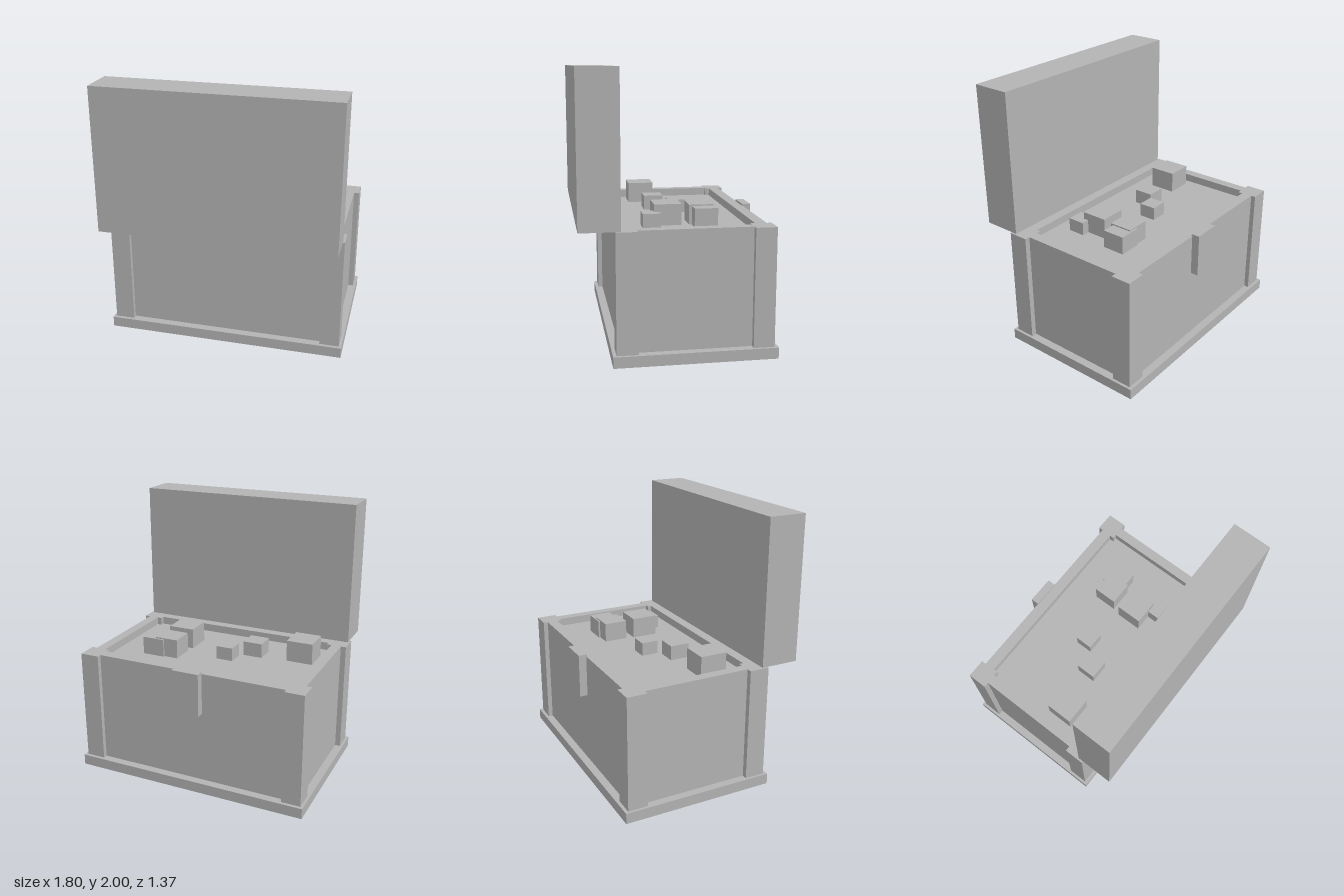
import * as THREE from 'three';

const stone = new THREE.MeshStandardMaterial({ name: 'plain grey', color: 0xb3b3b3 });
const CENTER_Z = -0.11; // middle of the chest body

// Box given by its lower and upper limits on each axis
function box(name, [x0, x1], [y0, y1], [z0, z1]) {
  const mesh = new THREE.Mesh(new THREE.BoxGeometry(x1 - x0, y1 - y0, z1 - z0), stone);
  mesh.position.set((x0 + x1) / 2, (y0 + y1) / 2, (z0 + z1) / 2);
  mesh.name = name;
  return mesh;
}

// Rectangle whose corners are stepped: post corner (px, pz), wall line (wx, wz), step (sx, sz)
function steppedOutline(corner) {
  const points = [];
  for (const [mx, my] of [[1, 1], [-1, 1], [-1, -1], [1, -1]]) {
    const part = corner.map(([x, y]) => new THREE.Vector2(x * mx, y * my));
    points.push(...(mx * my > 0 ? part : part.reverse()));
  }
  return points;
}

// Four walls and corner posts as one stepped ring
function chestBody() {
  const shape = new THREE.Shape(steppedOutline(
    [[0.84, 0.40], [0.88, 0.40], [0.88, 0.55], [0.735, 0.55], [0.735, 0.515]]));
  shape.holes.push(new THREE.Path(steppedOutline(
    [[0.765, 0.40], [0.73, 0.40], [0.73, 0.433]])));
  const geometry = new THREE.ExtrudeGeometry(shape, { depth: 0.85, bevelEnabled: false });
  geometry.rotateX(-Math.PI / 2);
  const mesh = new THREE.Mesh(geometry, stone);
  mesh.position.set(0, 0.08, CENTER_Z);
  mesh.name = 'wallsAndPosts';
  return mesh;
}

export function createModel() {
  const group = new THREE.Group();
  group.name = 'openChest';

  group.add(box('basePlinth', [-0.9, 0.9], [0, 0.08], [-0.685, 0.465]));
  group.add(chestBody());
  group.add(box('contentsBed', [-0.79, 0.79], [0.08, 0.87], [-0.57, 0.35]));
  group.add(box('latch', [-0.105, 0.105], [0.62, 0.945], [-0.683, -0.62]));
  group.add(box('openLid', [-0.865, 0.865], [0.93, 2], [0.4, 0.685]));

  // Loose blocks half sunk in the bed: x range, top, z range
  const blocks = [
    [[-0.71, -0.51], 1.03, [-0.01, 0.193]],
    [[0.24, 0.44], 1.025, [-0.08, 0.118]],
    [[0.37, 0.5], 0.97, [0.077, 0.208]],
    [[-0.145, -0.015], 0.97, [-0.19, -0.06]],
    [[-0.32, -0.173], 0.98, [-0.04, 0.108]],
    [[0.255, 0.435], 1.015, [-0.315, -0.137]],
    [[0.365, 0.537], 1.005, [-0.328, -0.158]],
  ];
  const contents = new THREE.Group();
  contents.name = 'looseBlocks';
  blocks.forEach(([x, top, z], i) => contents.add(box('block' + (i + 1), x, [0.835, top], z)));
  group.add(contents);

  return group;
}
